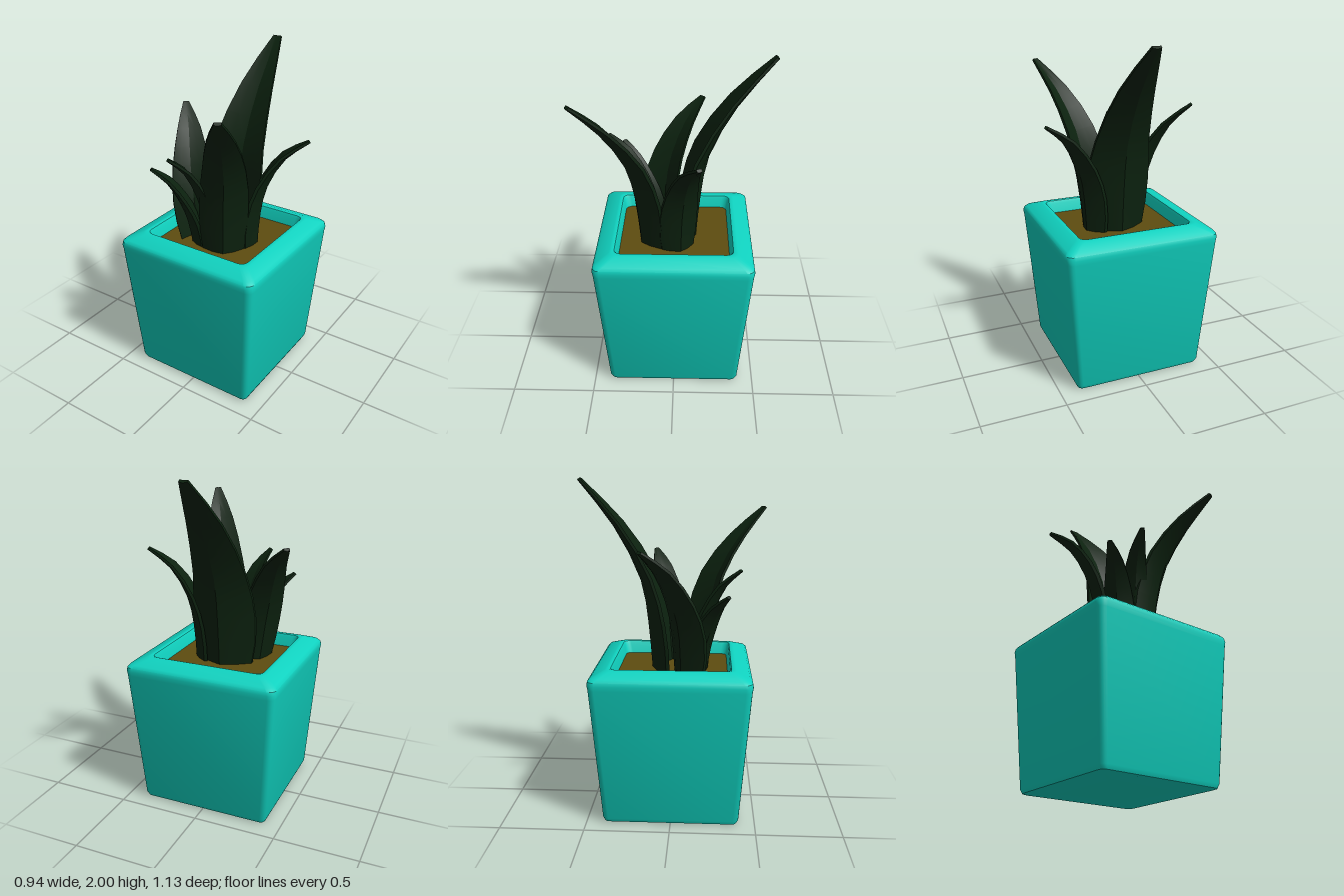
import * as THREE from 'three';
import { toCreasedNormals } from 'three/addons/utils/BufferGeometryUtils.js';

// Skin a list of closed rings (equal point counts) into one surface.
function loft(rings, crease) {
  const n = rings[0].length, pos = [], idx = [];
  rings.forEach(r => r.forEach(p => pos.push(p.x, p.y, p.z)));
  for (let i = 0; i < rings.length - 1; i++) {
    for (let j = 0; j < n; j++) {
      const a = i * n + j, b = i * n + (j + 1) % n;
      idx.push(a, a + n, b + n, a, b + n, b);
    }
  }
  const g = new THREE.BufferGeometry();
  g.setAttribute('position', new THREE.Float32BufferAttribute(pos, 3));
  g.setIndex(idx);
  return toCreasedNormals(g, crease);
}

// Horizontal square ring with rounded corners.
function squareRing(half, y, radius) {
  const pts = [], steps = 4, c = half - radius;
  for (let k = 0; k < 4; k++) {
    const mid = Math.PI / 4 + k * Math.PI / 2;
    const sx = Math.sign(Math.cos(mid)), sz = Math.sign(Math.sin(mid));
    for (let s = 0; s <= steps; s++) {
      const a = (k + s / steps) * Math.PI / 2;
      pts.push(new THREE.Vector3(sx * c + radius * Math.cos(a), y, sz * c + radius * Math.sin(a)));
    }
  }
  return pts;
}

const WIDTHS = [0.85, 0.97, 1, 0.95, 0.84, 0.7, 0.53, 0.34, 0.13];

// Cupped, tapering leaf whose outer midrib follows the given points.
function leafGeometry(points, halfWidth) {
  const curve = new THREE.CatmullRomCurve3(points.map(p => new THREE.Vector3(...p)));
  const first = points[0], last = points[points.length - 1];
  const side = new THREE.Vector3(last[2] - first[2], 0, first[0] - last[0]).normalize();
  const us = [-1, -0.5, 0, 0.5, 1];
  const rings = WIDTHS.map((f, i) => {
    const t = i / (WIDTHS.length - 1), w = halfWidth * f;
    const centre = curve.getPoint(t);
    const inward = curve.getTangent(t).cross(side).normalize();
    const cup = w * (0.55 - 0.25 * t), thick = 0.032 - 0.012 * t;
    const at = (u, lift) => centre.clone().addScaledVector(side, u * w)
      .addScaledVector(inward, cup * Math.pow(Math.abs(u), 1.5) + lift);
    return [...us.map(u => at(u, thick * (1 - 0.3 * u * u))), ...us.slice().reverse().map(u => at(u, 0))];
  });
  // Close the tip.
  const end = rings[rings.length - 1];
  const tip = end.reduce((s, p) => s.add(p), new THREE.Vector3()).divideScalar(end.length);
  rings.push(end.map(() => tip));
  return loft(rings, 0.35);
}

export function createModel() {
  const teal = new THREE.MeshStandardMaterial({ color: 0x10d2c0 });
  teal.name = 'teal glaze';
  const brown = new THREE.MeshStandardMaterial({ color: 0x5e4c10 });
  brown.name = 'brown soil';
  const green = new THREE.MeshStandardMaterial({ color: 0x0c220f });
  green.name = 'dark green leaf';

  const model = new THREE.Group();
  model.name = 'pottedPlant';
  const add = (name, geometry, material, x = 0) => {
    const mesh = new THREE.Mesh(geometry, material);
    mesh.name = name;
    mesh.position.x = x;
    model.add(mesh);
  };

  // Pot wall: half width, height, corner radius; from the base up over the rim and inside
  const potProfile = [
    [0, 0, 0], [0.375, 0, 0.025], [0.393, 0.006, 0.03], [0.404, 0.03, 0.035],
    [0.464, 0.84, 0.04], [0.469, 0.868, 0.045], [0.465, 0.89, 0.045], [0.45, 0.906, 0.045],
    [0.375, 0.936, 0.04], [0.36, 0.94, 0.04], [0.348, 0.936, 0.04], [0.341, 0.92, 0.04],
    [0.325, 0.83, 0.04],
  ];
  add('pot', loft(potProfile.map(p => squareRing(...p)), 0.6), teal, -0.006);

  // Soil
  add('soil', loft([squareRing(0.33, 0.83, 0.04), squareRing(0.33, 0.86, 0.04), squareRing(0, 0.86, 0)], 0.4), brown, -0.006);

  // Leaves: midrib points from soil to tip, and half width
  const leaves = {
    backLeaf: [[[0, 0.84, -0.13], [0, 1.14, -0.155], [0, 1.4, -0.2], [0, 1.72, -0.36], [0, 1.985, -0.565]], 0.2],
    frontRightLeaf: [[[0.1, 0.84, 0.2], [0.12, 1.14, 0.225], [0.16, 1.4, 0.28], [0.23, 1.63, 0.41], [0.315, 1.81, 0.56]], 0.145],
    leftLeaf: [[[-0.19, 0.84, 0.05], [-0.225, 1.08, 0.045], [-0.27, 1.28, 0.01], [-0.335, 1.47, -0.07], [-0.425, 1.6, -0.17]], 0.135],
    rightLeaf: [[[0.195, 0.84, -0.04], [0.21, 1.06, -0.045], [0.245, 1.24, -0.06], [0.34, 1.42, -0.095], [0.465, 1.53, -0.14]], 0.115],
    frontLeftLeaf: [[[-0.14, 0.84, 0.17], [-0.16, 1, 0.19], [-0.19, 1.13, 0.225], [-0.245, 1.26, 0.275], [-0.32, 1.345, 0.33]], 0.095],
    frontLeaf: [[[-0.01, 0.84, 0.19], [-0.03, 1.04, 0.205], [-0.055, 1.21, 0.24], [-0.09, 1.37, 0.31], [-0.13, 1.47, 0.405]], 0.09],
  };
  for (const [name, [points, halfWidth]] of Object.entries(leaves)) {
    add(name, leafGeometry(points, halfWidth), green);
  }
  return model;
}
